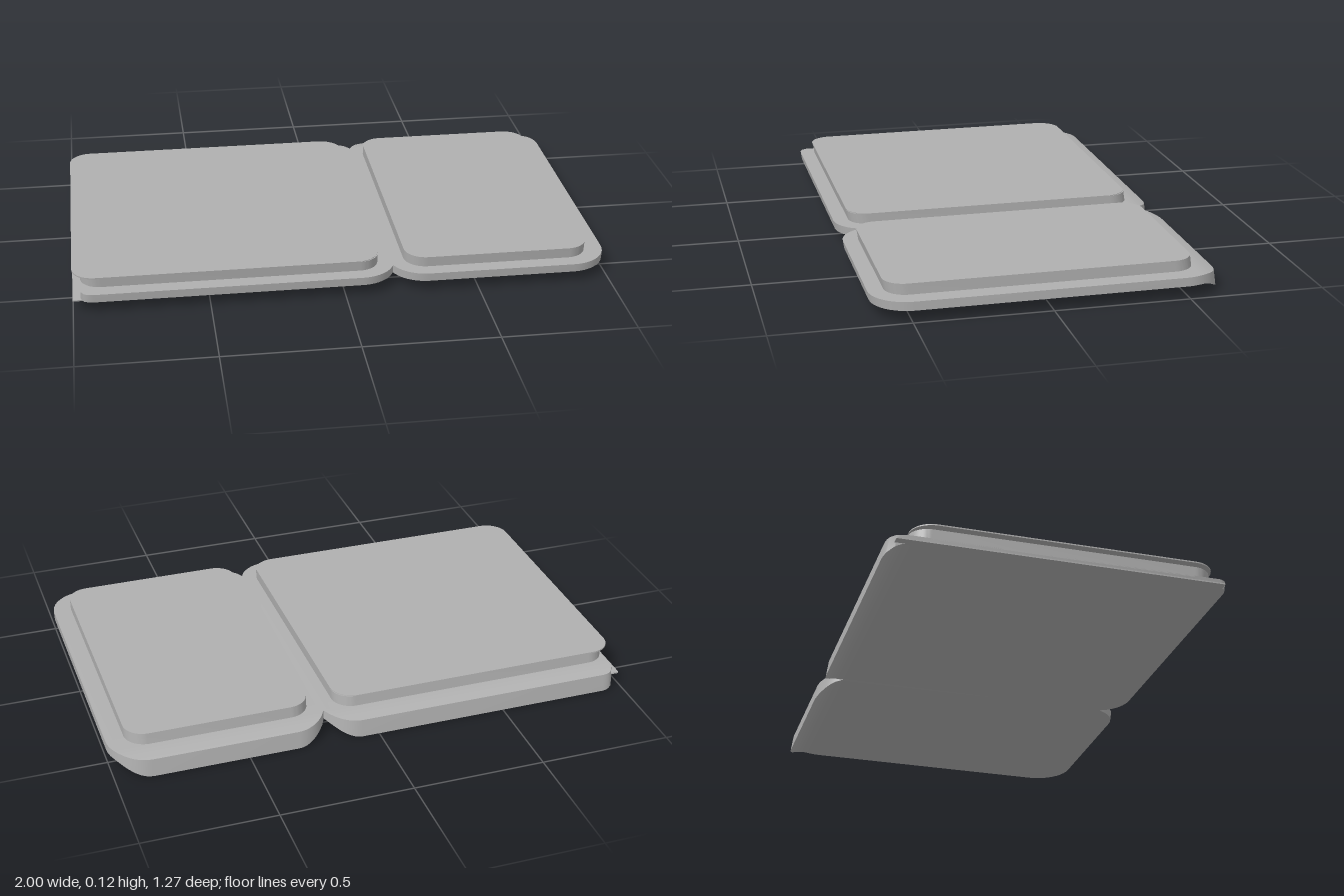
import * as THREE from 'three';
import { toCreasedNormals } from 'three/addons/utils/BufferGeometryUtils.js';

const CUT = -0.97; // flat left end of the slab
const SEAM = 0.188; // joint between the two halves

// slight lean and slope shared by all parts
const leanPoint = (x, y, z) => [x, y - z * 0.003, z + (y - 0.06) * 0.15];

function lean(geometry) {
  const p = geometry.attributes.position;
  for (let i = 0; i < p.count; i++) {
    p.setXYZ(i, ...leanPoint(p.getX(i), p.getY(i), p.getZ(i)));
  }
  return geometry;
}

// how far the front and back edges step in at a given x
const arc = (r, d) => r - Math.sqrt(Math.max(0, r * r - d * d));
function inset(x) {
  if (x < -0.92) return 0.6 * arc(0.05, -0.92 - x);
  if (x > 0.86) return arc(0.14, x - 0.86);
  return arc(0.135, Math.max(0, 0.125 - Math.abs(x - SEAM)));
}

// slab lofted along x, with a lip curling down at the back
function slabGeometry() {
  const xs = [];
  for (let i = 0; i <= 4; i++) xs.push(CUT + 0.05 * i / 4);
  for (let i = 0; i <= 16; i++) xs.push(SEAM - 0.125 + 0.25 * i / 16);
  for (let i = 0; i <= 10; i++) xs.push(0.86 + 0.14 * Math.sin(i / 10 * Math.PI / 2));

  const rows = 11;
  const sections = xs.map((x) => {
    const front = 0.632 - inset(x), back = -0.627 + inset(x);
    const top = [], bottom = [];
    for (let k = 0; k <= rows; k++) {
      const z = k === 0 ? front : Math.max(back, -0.54 - 0.087 * (k - 1) / (rows - 1));
      const d = Math.max(0, (-0.54 - z) / 0.087);
      top.push(leanPoint(x, 0.08 - 0.015 * d * d, z));
      bottom.push(leanPoint(x, 0.047 - 0.048 * d * d, z));
    }
    return { top, bottom };
  });

  const pos = [];
  const quad = (a, b, c, d) => pos.push(...a, ...b, ...c, ...a, ...c, ...d);
  for (let i = 0; i < sections.length - 1; i++) {
    const s = sections[i], t = sections[i + 1];
    for (let k = 0; k < rows; k++) {
      quad(s.top[k], t.top[k], t.top[k + 1], s.top[k + 1]);
      quad(s.bottom[k], s.bottom[k + 1], t.bottom[k + 1], t.bottom[k]);
    }
    quad(s.bottom[0], t.bottom[0], t.top[0], s.top[0]);
    quad(s.top[rows], t.top[rows], t.bottom[rows], s.bottom[rows]);
  }
  const a = sections[0], b = sections[sections.length - 1];
  for (let k = 0; k < rows; k++) {
    quad(a.bottom[k], a.top[k], a.top[k + 1], a.bottom[k + 1]);
    quad(b.bottom[k], b.bottom[k + 1], b.top[k + 1], b.top[k]);
  }
  const g = new THREE.BufferGeometry();
  g.setAttribute('position', new THREE.Float32BufferAttribute(pos, 3));
  return toCreasedNormals(g, 0.6);
}

// rounded plate lying flat between two heights
function plateGeometry(x0, x1, z0, z1, y0, y1, r) {
  const s = new THREE.Shape();
  s.moveTo(x0 + r, -z1);
  s.lineTo(x1 - r, -z1);
  s.absarc(x1 - r, -z1 + r, r, -Math.PI / 2, 0);
  s.lineTo(x1, -z0 - r);
  s.absarc(x1 - r, -z0 - r, r, 0, Math.PI / 2);
  s.lineTo(x0 + r, -z0);
  s.absarc(x0 + r, -z0 - r, r, Math.PI / 2, Math.PI);
  s.lineTo(x0, -z1 + r);
  s.absarc(x0 + r, -z1 + r, r, Math.PI, Math.PI * 1.5);
  const g = new THREE.ExtrudeGeometry(s, { depth: y1 - y0, bevelEnabled: false, curveSegments: 8 });
  g.rotateX(-Math.PI / 2).translate(0, y0, 0);
  return toCreasedNormals(lean(g), 0.6);
}

export function createModel() {
  const group = new THREE.Group();
  const grey = new THREE.MeshStandardMaterial({ color: 0xb0b0b0 });
  grey.name = 'grey';
  const add = (name, geometry) => {
    const mesh = new THREE.Mesh(geometry, grey);
    mesh.name = name;
    group.add(mesh);
  };

  add('baseSlab', slabGeometry());
  // wide pad, whose thin top sheet overhangs the cut end
  add('widePad', plateGeometry(CUT, 0.135, -0.55, 0.574, 0.075, 0.119, 0.075));
  add('widePadTop', plateGeometry(-1, 0.135, -0.55, 0.574, 0.116, 0.121, 0.085));
  add('narrowPad', plateGeometry(0.235, 0.93, -0.55, 0.574, 0.075, 0.121, 0.08));
  // thin flange along the bottom of the cut end
  add('endFlange', plateGeometry(-1, -0.96, -0.6, 0.61, 0.044, 0.049, 0.003));
  return group;
}
